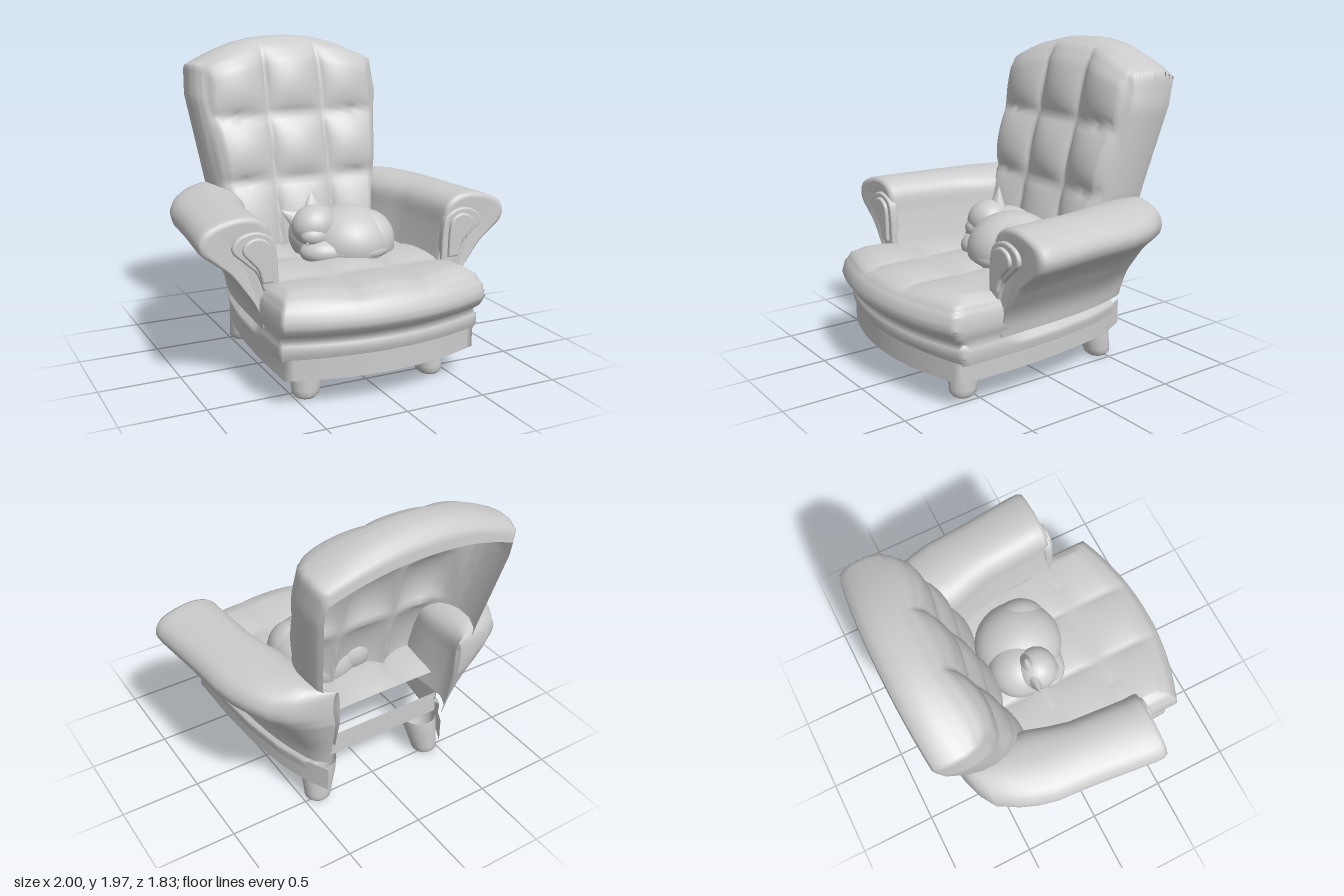
import * as THREE from 'three';

const fabric = new THREE.MeshStandardMaterial({ color: 0xcccccc, side: THREE.DoubleSide });
fabric.name = 'pale grey';

function add(parent, name, geo, pos) {
  const m = new THREE.Mesh(geo, fabric);
  m.name = name;
  if (pos) m.position.set(...pos);
  parent.add(m);
  return m;
}

// Smooth grid surface from a rule fn(i, j) -> [x, y, z]
function surface(nu, nv, fn) {
  const pos = [], idx = [];
  for (let j = 0; j <= nv; j++) for (let i = 0; i <= nu; i++) pos.push(...fn(i, j));
  for (let j = 0; j < nv; j++) for (let i = 0; i < nu; i++) {
    const a = j * (nu + 1) + i, b = a + nu + 1;
    idx.push(a, a + 1, b, a + 1, b + 1, b);
  }
  const g = new THREE.BufferGeometry();
  g.setAttribute('position', new THREE.Float32BufferAttribute(pos, 3));
  g.setIndex(idx);
  g.computeVertexNormals();
  return g;
}

// Linear interpolation in rows [key, a, b, ...]
function lookup(rows, t) {
  let k = 1;
  while (k < rows.length - 1 && rows[k][0] < t) k++;
  const p = rows[k - 1], q = rows[k];
  const f = THREE.MathUtils.clamp((t - p[0]) / (q[0] - p[0]), 0, 1);
  return p.map((v, i) => v + (q[i] - v) * f);
}

// Half width of the base, narrowing toward the back
const baseHalf = z => lookup([[-.64, .42], [-.5, .49], [-.3, .55], [0, .597], [.3, .615]], z)[1];

// Cushion bulge between seams, zero on each seam
function puff(seams, x) {
  for (let k = 1; k < seams.length; k++) {
    const t = (x - seams[k - 1]) / (seams[k] - seams[k - 1]);
    if (t >= 0 && t <= 1) return Math.pow(Math.sin(Math.PI * t), 0.55);
  }
  return 0;
}

// Open pad: flat inside, wrapped down along three edges by rim rows [d, fu, fv, depth]
function pad(rim, place) {
  const nu = 100, nv = 50;
  return surface(nu, nv, (i, j) => {
    const u = i / nu * 2 - 1, v = j / nv, d = Math.max(Math.abs(u), v) || 1e-6;
    const [, fu, fv, depth] = lookup(rim, d);
    return place(u / d * fu, v / d * fv, depth);
  });
}

function backrest() {
  const rim = [[0, 0, 0, 0], [.7, .84, .9, 0], [.76, .92, .965, .02], [.82, .97, .992, .07],
    [.88, 1, 1, .14], [.92, 1, .995, .23], [.96, .97, .96, .32], [1, .925, .89, .35]];
  const widths = [[.62, .48], [1.05, .575], [1.6, .655], [1.8, .64], [2, .6]];
  return pad(rim, (u, v, depth) => {
    const y = .62 + v * (1.35 - .17 * Math.abs(u) ** 2.2);
    const x = u * lookup(widths, y)[1] - .025;
    const bulge = .075 * puff([-.6, -.21, .17, .55], x) * puff([.5, 1.08, 1.48, 1.94], y);
    const lean = (y - 1.08) * (y > 1.08 ? .25 : .18);
    const wall = depth * THREE.MathUtils.smoothstep(y, .5, .95);
    return [x, y, -.38 - lean - wall + bulge * Math.max(0, 1 - depth / .1)];
  });
}

function seat() {
  const rim = [[0, 0, 0, .655], [.7, .86, .88, .65], [.76, .94, .95, .63], [.82, .985, .985, .58],
    [.86, 1, 1, .51], [.9, .985, .97, .45], [.92, .955, .93, .41], [.94, .975, .945, .385],
    [.98, .98, .945, .33], [1, .965, .93, .285]];
  return pad(rim, (u, v, h) => {
    const z = -.52 + v * (1.43 - .14 * u * u);
    let x = u * .655 * baseHalf(z) / .615;
    if (h > .38) x *= 1 - .07 * (1 - THREE.MathUtils.smoothstep(z, .25, .42));
    const lift = .035 * puff([-.66, -.2, .2, .66], x) * puff([-.5, 0, .42, .88], z);
    return [x, h + lift * Math.max(0, (h - .6) / .055), z];
  });
}

// Thin skirt under the seat: bowed front, sides curving in toward an open back
function skirt() {
  const side = [-.64, -.5, -.3, 0, .3].map(z => [baseHalf(z), z]);
  const path = [...side];
  for (let i = 0; i <= 24; i++) {
    const k = 1 - i / 12;
    path.push([.615 * k, .82 - .12 * k * k]);
  }
  path.push(...side.reverse().map(([x, z]) => [-x, z]));
  return surface(path.length - 1, 1, (i, j) => [path[i][0], .175 + j * .16, path[i][1]]);
}

function arm() {
  const g = new THREE.Group();
  const section = new THREE.CatmullRomCurve3([[.5, .55], [.53, .68], [.56, .85], [.58, .98], [.64, 1.04],
    [.75, 1.06], [.9, 1.03], [.97, .99], [1, .93], [.98, .87], [.92, .82], [.83, .75], [.75, .65],
    [.68, .55], [.65, .48], [.635, .4]].map(([x, y]) => new THREE.Vector3(x, y, 0))).getPoints(60);
  // Stations: z, inner x, width scale, top drop, shrink toward the scroll centre, inner wall inset
  const stations = [[.435, .5, 1, 0, 0, 0], [.445, .5, 1, 0, .8, 0], [.44, .5, 1, 0, .95, 0], [.415, .5, 1, 0, 1, 0],
    [.36, .5, 1, 0, 1, 0], [0, .485, .95, 0, 1, .01], [-.12, .475, .95, 0, 1, .03], [-.27, .455, .97, 0, 1, .06],
    [-.4, .435, .95, 0, 1, .05], [-.5, .42, .9, 0, 1, .03], [-.62, .4, .8, .01, 1, 0], [-.68, .4, .6, .03, 1, 0],
    [-.72, .4, .34, .05, 1, 0], [-.74, .4, .1, .06, 1, 0]];
  add(g, 'armShell', surface(60, stations.length - 1, (i, j) => {
    const [z, a, s, drop, k, inset] = stations[j], p = section[i];
    const cx = p.y > .8 ? .75 : .6 + (p.y - .41) * .38;
    const x = cx + (p.x - cx) * k, y0 = Math.min(p.y, .9);
    const y = y0 + (p.y - y0) * k - drop * Math.max(0, (p.y - .8) / .26);
    const inward = i < 30 ? inset * THREE.MathUtils.clamp((.75 - x) / .19, 0, 1) : 0;
    const slope = z < 0 ? .1 * (z / -.74) * THREE.MathUtils.clamp((.77 - y) / .37, 0, 1) : 0;
    return [a + (x - .5) * s - inward, y, z + slope];
  }));
  // Stepped scroll trim on the arm front
  const loop = [[.55, .64], [.56, .85], [.59, .93], [.68, .965], [.77, .94], [.8, .88], [.73, .81], [.66, .74], [.62, .64]];
  [[1, .42, .03], [.62, .45, .02]].forEach(([k, z, depth], n) => {
    const pts = loop.map(([x, y]) => new THREE.Vector2(.655 + (x - .655) * k, .84 + (y - .84) * (n ? .75 : 1)));
    const shape = new THREE.Shape();
    shape.moveTo(pts[0].x, pts[0].y);
    shape.splineThru(pts.slice(1));
    add(g, n ? 'scrollPad' : 'scrollTrim', new THREE.ExtrudeGeometry(shape,
      { depth, bevelSize: .012, bevelThickness: .012, bevelSegments: 3, curveSegments: 30 }), [0, 0, z]);
  });
  return g;
}

// Splayed tapered foot
function foot(x, z) {
  const pts = [[0, 0], [.06, 0], [.08, .02], [.085, .05], [.108, .2], [.112, .27]];
  const geo = new THREE.LatheGeometry(pts.map(p => new THREE.Vector2(...p)), 20);
  const p = geo.attributes.position;
  for (let i = 0; i < p.count; i++) {
    const k = p.getY(i) / .2;
    p.setX(i, p.getX(i) - Math.sign(x) * .025 * k);
    p.setZ(i, p.getZ(i) - Math.sign(z) * .03 * k);
  }
  geo.computeVertexNormals();
  return [geo, [x, 0, z]];
}

function cat() {
  const g = new THREE.Group();
  g.name = 'sleepingCat';
  const ball = (name, pos, r, rot = [0, 0, 0]) => {
    const m = add(g, name, new THREE.SphereGeometry(1, 28, 20), pos);
    m.scale.set(...r);
    m.rotation.set(...rot);
  };
  ball('catBody', [.13, .72, -.01], [.28, .23, .285]);
  ball('catHaunch', [.24, .73, .05], [.165, .19, .19]);
  ball('catShoulder', [-.03, .76, -.09], [.2, .18, .19]);
  ball('catHead', [-.115, .85, 0], [.14, .125, .13], [0, 0, .25]);
  ball('catMuzzle', [-.14, .8, .07], [.09, .065, .07]);
  ball('catPaw', [-.1, .7, .1], [.14, .08, .1], [0, -.4, 0]);
  // Tail curled round the front
  const curve = new THREE.CatmullRomCurve3([[.36, .7, -.03], [.32, .7, .13], [.19, .7, .22], [.04, .7, .2], [-.08, .7, .13]]
    .map(p => new THREE.Vector3(...p)));
  add(g, 'catTail', new THREE.TubeGeometry(curve, 30, .05, 12));
  // Ears and cheek tufts: cones from base to tip, flattened
  const spike = (name, base, tip, r) => {
    const a = new THREE.Vector3(...base), dir = new THREE.Vector3(...tip).sub(a), len = dir.length();
    const m = add(g, name, new THREE.ConeGeometry(r, len, 12).translate(0, len / 2, 0), base);
    m.quaternion.setFromUnitVectors(new THREE.Vector3(0, 1, 0), dir.normalize());
    m.scale.z = .6;
  };
  spike('catEar', [-.18, .87, -.05], [-.3, .945, -.07], .08);
  spike('catEar', [-.09, .92, -.05], [-.095, 1.06, -.07], .08);
  spike('catCheek', [-.08, .83, .09], [0, .86, .11], .04);
  spike('catCheek', [-.16, .79, .09], [-.22, .75, .11], .04);
  return g;
}

export function createModel() {
  const model = new THREE.Group();
  model.name = 'armchair';
  add(model, 'backrest', backrest());
  add(model, 'seatCushion', seat());
  add(model, 'seatBackRail', surface(1, 1, (i, j) => [i ? .47 : -.47, .31 + j * .15, -.51]));
  add(model, 'skirt', skirt());
  for (const s of [1, -1]) {
    const a = arm();
    a.name = s > 0 ? 'leftArm' : 'rightArm';
    a.scale.x = s;
    model.add(a);
    add(model, 'frontFoot', ...foot(s * .415 - .01, .555));
    add(model, 'rearFoot', ...foot(s * .415 - .01, -.485));
  }
  model.add(cat());
  return model;
}
